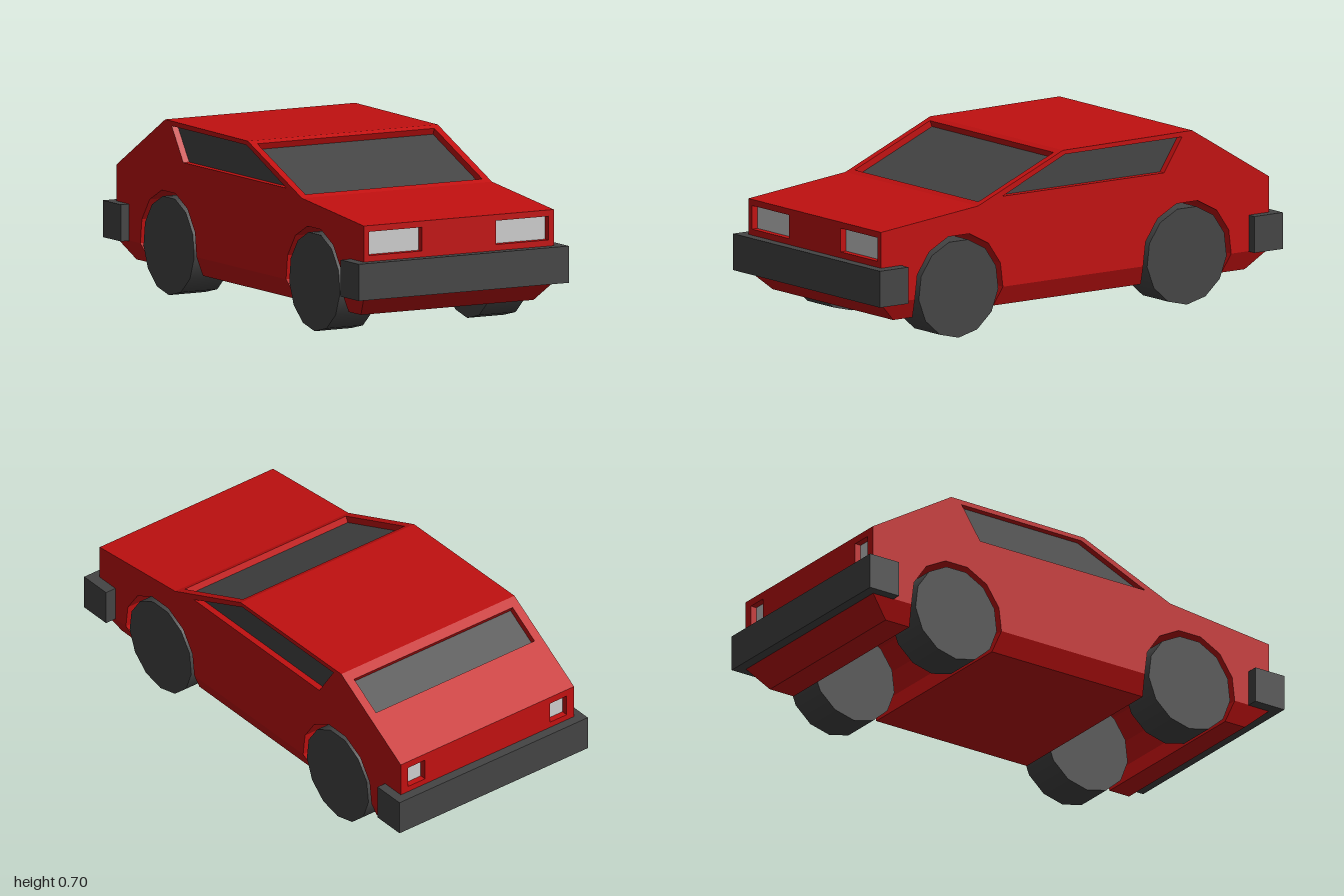
import * as THREE from 'three';
import { mergeGeometries } from 'three/addons/utils/BufferGeometryUtils.js';

const HALF = 0.437, SILL = 0.18, FLOOR = 0.1, RECESS = 0.027;
const AXLES = { front: 0.575, rear: -0.555 };
const SIDES = 13, ARCH_R = 0.22;

const red = new THREE.MeshStandardMaterial({ color: 0xc01010 });
const dark = new THREE.MeshStandardMaterial({ color: 0x444444 });
const grey = new THREE.MeshStandardMaterial({ color: 0xcccccc });

const V = (x, y, z) => new THREE.Vector3(x, y, z);
const X = V(1, 0, 0), Y = V(0, 1, 0);

// half width of the body: it tucks in below the sill line
const halfWidth = y => y >= SILL ? HALF : HALF - 0.04 * (SILL - y) / (SILL - FLOOR);

// flat-shaded quad, corners anticlockwise from outside
function quad(a, b, c, d) {
  const g = new THREE.BufferGeometry().setFromPoints([a, b, c, a, c, d]);
  g.computeVertexNormals();
  return g;
}

function flat(shape, matrix) {
  const g = new THREE.ShapeGeometry(shape).toNonIndexed();
  g.deleteAttribute('uv');
  return g.applyMatrix4(matrix);
}

const ccw = points => {
  const p = points.map(([u, v]) => new THREE.Vector2(u, v));
  return THREE.ShapeUtils.isClockWise(p) ? p.reverse() : p;
};

export function createModel() {
  const model = new THREE.Group();
  model.name = 'car';
  const skin = [];

  const add = (name, geometry, material) => {
    const mesh = new THREE.Mesh(geometry, material);
    mesh.name = name;
    model.add(mesh);
    return mesh;
  };

  // skin panel in the plane (u, v) with recessed openings, each closed by a pane
  function panel(origin, u, v, outline, openings = []) {
    const n = u.clone().cross(v);
    const m = new THREE.Matrix4().makeBasis(u, v, n).setPosition(origin);
    const shape = new THREE.Shape(ccw(outline));
    for (const { name, points, material } of openings) {
      const rim = ccw(points);
      shape.holes.push(new THREE.Path(rim));
      rim.forEach((a, i) => {
        const b = rim[(i + 1) % rim.length];
        const at = (p, d) => V(p.x, p.y, -d).applyMatrix4(m);
        skin.push(quad(at(a, 0), at(b, 0), at(b, RECESS), at(a, RECESS)));
      });
      const pane = flat(new THREE.Shape(rim), m).translate(...n.clone().multiplyScalar(-RECESS).toArray());
      add(name, pane, material);
    }
    skin.push(flat(shape, m));
  }

  const rect = (u0, u1, v0, v1) => [[u0, v0], [u1, v0], [u1, v1], [u0, v1]];

  // wheel arch as [z, y] points, rear to front
  const archTop = c => {
    const pts = [[c - 0.218, SILL]];
    for (let k = 4; k <= 9; k++) {
      const a = k * 2 * Math.PI / SIDES;
      pts.push([c - ARCH_R * Math.sin(a), 0.2 - ARCH_R * Math.cos(a)]);
    }
    return [...pts, [c + 0.218, SILL]];
  };
  const arch = c => [[c - 0.2, FLOOR], ...archTop(c), [c + 0.2, FLOOR]];

  // side profile as [z, y], up the nose, over the roof and back along the floor
  const upper = [[0.96, SILL], [0.96, 0.47], [0.48, 0.52], [0.06, 0.695],
    [-0.58, 0.7], [-0.96, 0.47], [-0.96, SILL]];
  const profile = [...upper, [-0.87, FLOOR], ...arch(AXLES.rear), ...arch(AXLES.front), [0.87, FLOOR]];

  // openings by profile edge: u across, v along the edge
  const lamps = (name, x0, x1, v0, v1) => [
    { name: 'left' + name, points: rect(x0, x1, v0, v1), material: grey },
    { name: 'right' + name, points: rect(-x1, -x0, v0, v1), material: grey }];
  const openings = {
    0: lamps('Headlight', 0.17, 0.413, 0.17, 0.265),
    2: [{ name: 'windshield', points: rect(-0.407, 0.407, 0.026, 0.429), material: dark }],
    4: [{ name: 'rearWindow', points: rect(-0.4, 0.4, 0.041, 0.205), material: dark }],
    5: lamps('TailLight', 0.315, 0.4, 0.03, 0.12),
  };

  // panels spanning the car's width, including the arch tunnels
  profile.forEach(([z0, y0], i) => {
    const [z1, y1] = profile[(i + 1) % profile.length];
    const v = V(0, y1 - y0, z1 - z0), len = v.length();
    const a = halfWidth(y0), b = halfWidth(y1);
    panel(V(0, y0, z0), X, v.normalize(), [[-a, 0], [a, 0], [b, len], [-b, len]], openings[i]);
  });

  // flanks, side windows and tucked-in sills
  const flank = [...upper, ...archTop(AXLES.rear), ...archTop(AXLES.front)];
  const glass = [[0.36, 0.545], [0.05, 0.678], [-0.53, 0.68], [-0.44, 0.545]];
  const f = AXLES.front, r = AXLES.rear;
  const sills = [[0.96, 0.87, f + 0.2, f + 0.218], [f - 0.218, f - 0.2, r + 0.2, r + 0.218],
    [r - 0.218, r - 0.2, -0.87, -0.96]];
  for (const s of [1, -1]) {
    const side = s > 0 ? 'left' : 'right';
    const local = pts => pts.map(([z, y]) => [-s * z, y]);
    panel(V(s * HALF, 0, 0), V(0, 0, -s), Y, local(flank),
      [{ name: side + 'SideWindow', points: local(glass), material: dark }]);
    for (const [z0, z1, z2, z3] of sills) {
      const low = s * halfWidth(FLOOR), high = s * HALF;
      const c = [V(high, SILL, z0), V(low, FLOOR, z1), V(low, FLOOR, z2), V(high, SILL, z3)];
      skin.push(quad(...(s > 0 ? c : c.reverse())));
    }

    // wheels, one vertex pointing at the ground
    for (const [end, z] of Object.entries(AXLES)) {
      const g = new THREE.CylinderGeometry(0.198, 0.198, 0.168, SIDES, 1, false, -Math.PI / 2);
      add(side + end[0].toUpperCase() + end.slice(1) + 'Wheel', g.rotateZ(Math.PI / 2), dark)
        .position.set(s * 0.351, 0.198, z);
    }
  }
  add('body', mergeGeometries(skin), red);

  // bumpers
  add('frontBumper', new THREE.BoxGeometry(0.968, 0.147, 0.14), dark).position.set(0, 0.252, 0.93);
  add('rearBumper', new THREE.BoxGeometry(0.95, 0.147, 0.14), dark).position.set(0, 0.252, -0.93);
  return model;
}
